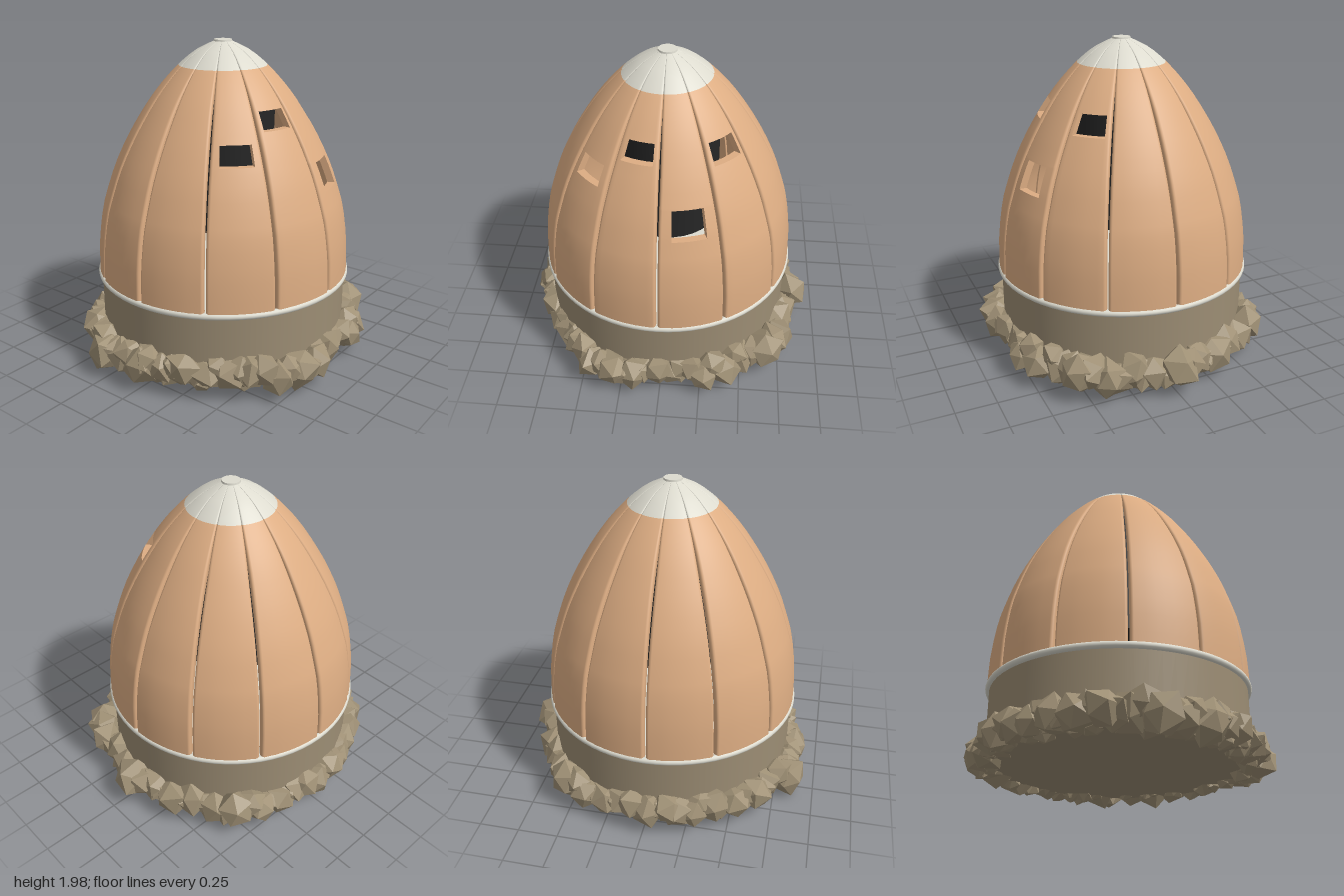
import * as THREE from 'three';
import { mergeGeometries, mergeVertices } from 'three/addons/utils/BufferGeometryUtils.js';

const mat = (name, color, extra = {}) => {
  const m = new THREE.MeshStandardMaterial({ color, ...extra });
  m.name = name;
  return m;
};

// small seeded random generator
let seed = 7;
const rnd = (lo = 0, hi = 1) => {
  seed = (seed * 16807) % 2147483647;
  return lo + (hi - lo) * (seed / 2147483647);
};

// dome silhouette as (radius, height)
const silhouette = new THREE.SplineCurve([
  [0.8, 0.56], [0.793, 0.75], [0.765, 0.95], [0.729, 1.08], [0.673, 1.24], [0.597, 1.4],
  [0.516, 1.54], [0.436, 1.66], [0.356, 1.76], [0.265, 1.855], [0.165, 1.935], [0.055, 1.99],
].map(p => new THREE.Vector2(...p))).getPoints(200);

function radiusAt(y) {
  for (let i = 1; i < silhouette.length; i++) {
    const a = silhouette[i - 1], b = silhouette[i];
    if (y <= b.y) return a.x + (b.x - a.x) * Math.max(0, (y - a.y) / (b.y - a.y));
  }
  return silhouette[silhouette.length - 1].x;
}

const HALF = Math.PI / 12, CAP_Y = 1.85, WALL = 0.045;
const BEVEL = [[0, 0.018], [0.004, 0.008], [0.01, 0.0025], [0.019, 0]]; // inset, drop

// one thick dome panel with rounded long edges and an optional window hole
function panelGeometries(win) {
  const w = win ? win.half : 0.14;
  const ys = [CAP_Y, ...(win ? [win.y0, win.y1] : [])];
  for (let i = 0; i <= 24; i++) {
    const y = silhouette[Math.round(i * 200 / 24)].y;
    if (ys.every(v => Math.abs(v - y) > 0.008)) ys.push(y);
  }
  ys.sort((a, b) => a - b);

  const columns = [
    ...BEVEL.map(([d, drop]) => ({ side: -1, d, drop })),
    ...[-1, -0.5, 0, 0.5, 1].map(k => ({ k, drop: 0 })),
    ...BEVEL.slice().reverse().map(([d, drop]) => ({ side: 1, d, drop })),
  ];
  const n = columns.length, loop = 2 * n, first = BEVEL.length, last = first + 4;
  const point = (c, y, inner) => {
    const r = radiusAt(y), s = Math.min(1, r / 0.45);
    const gap = 0.0055 * THREE.MathUtils.smoothstep(r, 0.26, 0.6); // seams close towards the cap
    const a = c.side ? c.side * (HALF - (gap + c.d * s) / r) : c.k * w;
    const q = r - (inner ? Math.min(WALL, r * 0.5) : c.drop * s);
    return [q * Math.sin(a), y, q * Math.cos(a)];
  };

  const pos = [], index = [];
  for (const y of ys) {
    columns.forEach(c => pos.push(...point(c, y, false)));
    columns.slice().reverse().forEach(c => pos.push(...point(c, y, true)));
  }
  let capStart = 0;
  for (let j = 0; j < ys.length - 1; j++) {
    if (ys[j] === CAP_Y) capStart = index.length;
    const rowOpen = win && ys[j] >= win.y0 && ys[j] < win.y1;
    for (let i = 0; i < loop; i++) {
      const o = i < n ? i : loop - 2 - i;
      if (rowOpen && o >= first && o < last) continue;
      const i2 = (i + 1) % loop, a = j * loop + i, b = j * loop + i2;
      index.push(a, b, b + loop, a, b + loop, a + loop);
    }
  }
  const shell = new THREE.BufferGeometry();
  shell.setAttribute('position', new THREE.Float32BufferAttribute(pos, 3));
  shell.setIndex(index);
  shell.addGroup(0, capStart, 0);
  shell.addGroup(capStart, index.length - capStart, 1);
  shell.computeVertexNormals();
  if (!win) return { shell };

  // window reveal: quads round the hole from outer to inner skin
  const rim = [], mid = columns.slice(first, last + 1);
  const rows = ys.filter(y => y >= win.y0 && y <= win.y1);
  mid.forEach(c => rim.push([c, win.y0]));
  rows.slice(1).forEach(y => rim.push([mid[4], y]));
  mid.slice(0, 4).reverse().forEach(c => rim.push([c, win.y1]));
  rows.slice(0, -1).reverse().forEach(y => rim.push([mid[0], y]));
  const v = [];
  for (let i = 0; i < rim.length - 1; i++) {
    const [p, q] = [rim[i], rim[i + 1]];
    const P = point(...p, false), Q = point(...q, false), Pi = point(...p, true), Qi = point(...q, true);
    v.push(...P, ...Q, ...Qi, ...P, ...Qi, ...Pi);
  }
  const reveal = new THREE.BufferGeometry();
  reveal.setAttribute('position', new THREE.Float32BufferAttribute(v, 3));
  reveal.computeVertexNormals();
  return { shell, reveal };
}

// one boulder: an icosahedron with its corners pushed about
function boulder(angle, radius, y, size) {
  let g = new THREE.IcosahedronGeometry(size, 0);
  g.deleteAttribute('normal');
  g.deleteAttribute('uv');
  g = mergeVertices(g);
  const p = g.attributes.position;
  for (let i = 0; i < p.count; i++) {
    const k = rnd(0.78, 1.15);
    p.setXYZ(i, p.getX(i) * k, p.getY(i) * k, p.getZ(i) * k);
  }
  g.rotateX(rnd(0, 6.28)).rotateZ(rnd(0, 6.28));
  g.translate(radius * Math.sin(angle), y, radius * Math.cos(angle));
  g = g.toNonIndexed();
  g.computeVertexNormals();
  return g;
}

// outer reach of the boulder ring every 10 degrees, from the front towards +x
const REACH = [
  0.88, 0.85, 0.94, 0.93, 0.9, 0.99, 0.98, 0.9, 0.9, 0.96, 0.9, 0.9,
  0.89, 0.9, 0.95, 0.92, 0.87, 0.87, 0.9, 0.89, 0.89, 0.89, 0.91, 0.92,
  0.9, 0.98, 0.91, 0.93, 0.89, 0.89, 0.86, 0.86, 0.89, 0.95, 0.96, 0.91,
];

export function createModel() {
  const group = new THREE.Group();
  group.name = 'domeBuilding';
  const tan = mat('tanPanel', 0xddad83);
  const pale = mat('paleTrim', 0xdddbcf);
  const stone = mat('stone', 0x9c8d74);
  const rock = mat('rock', 0xa09176, { flatShading: true });
  const dark = mat('darkCore', 0x262626);

  const body = new THREE.Group();
  body.name = 'body';
  body.position.set(-0.013, 0, -0.018);
  group.add(body);
  const add = (name, geo, material, y = 0) => {
    const m = new THREE.Mesh(geo, material);
    m.name = name;
    m.position.y = y;
    body.add(m);
    return m;
  };

  // foundation, floor, ring and dark inner core
  add('foundation', new THREE.CylinderGeometry(0.786, 0.786, 0.44, 64), stone, 0.32);
  add('floor', new THREE.CylinderGeometry(0.775, 0.775, 0.02, 64), pale, 0.54);
  add('baseRing', new THREE.TorusGeometry(0.79, 0.02, 12, 72).rotateX(Math.PI / 2), pale, 0.547);
  add('innerCore', new THREE.CylinderGeometry(0.32, 0.32, 0.79, 32), dark, 1.26);
  add('topDisc', new THREE.CylinderGeometry(0.055, 0.058, 0.016, 24), pale, 1.992);

  // twelve dome panels, four of them with windows
  const windows = {
    0: { y0: 1.15, y1: 1.32, half: 0.145 },
    1: { y0: 1.505, y1: 1.62, half: 0.188 },
    10: { y0: 1.365, y1: 1.48, half: 0.165 },
    11: { y0: 1.535, y1: 1.64, half: 0.188 },
  };
  const plain = panelGeometries();
  for (let i = 0; i < 12; i++) {
    const { shell, reveal } = windows[i] ? panelGeometries(windows[i]) : plain;
    const turn = HALF + i * Math.PI / 6;
    add('domePanel' + i, shell, [tan, pale]).rotation.y = turn;
    if (reveal) add('windowReveal' + i, reveal, tan).rotation.y = turn;
  }

  // ring of boulders round the foot: large outer ones, smaller fill below and between
  const rocks = [];
  REACH.forEach((reach, i) => {
    const a = i * Math.PI / 18, step = Math.PI / 18;
    const size = rnd(0.105, 0.13);
    rocks.push(boulder(a, reach - size * 0.92, rnd(0.15, 0.2), size));
    const mid = (reach + REACH[(i + 1) % 36]) / 2 - 0.02;
    rocks.push(boulder(a + step * rnd(0.4, 0.6), mid - 0.095, rnd(0.14, 0.22), rnd(0.09, 0.11)));
    rocks.push(boulder(a + step * rnd(0, 1), rnd(0.74, 0.77), rnd(0.11, 0.14), rnd(0.06, 0.08)));
  });
  add('boulders', mergeGeometries(rocks), rock);

  return group;
}
